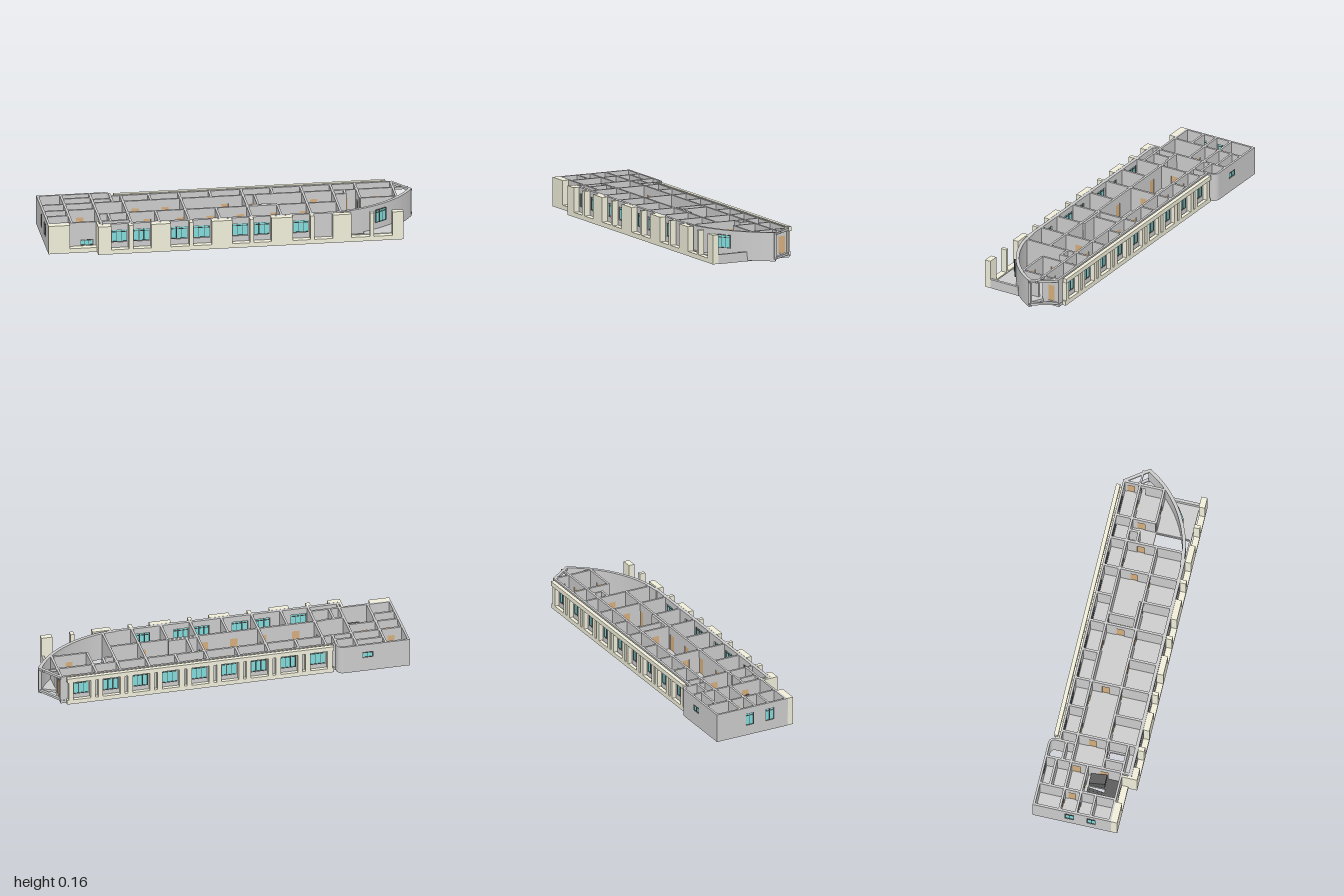
import * as THREE from 'three';

const mat = (color) => new THREE.MeshStandardMaterial({ color });
const GREY = mat(0xcccccc), BEIGE = mat(0xf0eeda), GLASS = mat(0x80dcdc), WOOD = mat(0xd6ae7d), DARK = mat(0x5a5a5a);
const TOP = 0.163, FLOOR = 0.03;

export function createModel() {
  const root = new THREE.Group();

  const add = (name, geo, material, parent = root) => {
    const m = new THREE.Mesh(geo, material);
    m.name = name;
    parent.add(m);
    return m;
  };
  // box given by its limits
  const box = (name, x0, x1, y0, y1, z0, z1, material = GREY, parent = root) => {
    const m = add(name, new THREE.BoxGeometry(x1 - x0, y1 - y0, z1 - z0), material, parent);
    m.position.set((x0 + x1) / 2, (y0 + y1) / 2, (z0 + z1) / 2);
    return m;
  };
  const rectPath = (x0, x1, y0, y1) => new THREE.Path([[x0, y0], [x1, y0], [x1, y1], [x0, y1]].map((p) => new THREE.Vector2(...p)));
  // plan outline (x, z) raised between two heights
  const plan = (name, pts, y0, y1, material, holes = []) => {
    const s = new THREE.Shape(pts.map((p) => new THREE.Vector2(p[0], p[1])));
    holes.forEach((h) => s.holes.push(rectPath(...h)));
    const g = new THREE.ExtrudeGeometry(s, { depth: y1 - y0, bevelEnabled: false });
    g.rotateX(Math.PI / 2).translate(0, y1, 0);
    return add(name, g, material);
  };
  // framed window of several panes, centred on z = 0 of its parent
  const windowUnit = (parent, u0, u1, y0, y1, panes) => {
    box('glass', u0, u1, y0, y1, -0.002, 0.002, GLASS, parent);
    const f = 0.003;
    for (let i = 0; i <= panes; i++) {
      const u = u0 + f / 2 + ((u1 - u0 - f) * i) / panes;
      box('windowBar', u - f / 2, u + f / 2, y0, y1, -0.005, 0.005, DARK, parent);
    }
    for (const y of [y0, y0 + (y1 - y0) * 0.78, y1 - f]) box('windowRail', u0, u1, y, y + f, -0.005, 0.005, DARK, parent);
  };
  // straight wall with openings [start, end, bottom, top, kind]
  const wall = (name, x0, z0, x1, z1, holes = [], y0 = 0.012, t = 0.012) => {
    const g = new THREE.Group(), len = Math.hypot(x1 - x0, z1 - z0);
    g.name = name;
    g.position.set(x0, 0, z0);
    g.rotation.y = Math.atan2(z0 - z1, x1 - x0);
    const s = new THREE.Shape(rectPath(0, len, y0, TOP).getPoints());
    holes.forEach((h) => s.holes.push(rectPath(h[0], h[1], h[2], h[3])));
    const geo = new THREE.ExtrudeGeometry(s, { depth: t, bevelEnabled: false }).translate(0, 0, -t / 2);
    add('wallPanel', geo, GREY, g);
    for (const [a, b, c, d, kind] of holes) {
      if (kind === 'window') windowUnit(g, a, b, c, d, b - a > 0.06 ? 3 : 2);
      if (kind === 'door') box('doorLeaf', a, b, c, d, -0.003, 0.003, WOOD, g);
    }
    root.add(g);
    return g;
  };
  const door = (u) => [u, u + 0.04, FLOOR, 0.12, 'door'];

  // floor slab with stair and shaft openings
  plan('floorSlab', [[-1, -0.25], [-0.71, -0.25], [-0.71, -0.165], [-0.61, -0.165], [-0.61, -0.2], [0.9, -0.2], [0.9, -0.11],
    [0.98, -0.07], [0.9, 0.04], [0.9, 0.215], [-0.73, 0.215], [-0.73, 0.17], [-1, 0.17]], 0.016, FLOOR, GREY,
  [[0.575, 0.695, 0.025, 0.205], [0.575, 0.625, -0.1, -0.06], [-0.655, -0.57, 0.07, 0.16], [-0.8, -0.78, 0, 0.09]]);

  // beam grid under the slab
  const bays = [-0.555, -0.405, -0.245, -0.08, 0.09, 0.25, 0.41, 0.57];
  for (const x of bays) box('crossBeam', x - 0.007, x + 0.007, 0, 0.02, -0.2, 0.215);
  for (const x of [0.7, 0.893]) box('crossBeam', x - 0.007, x + 0.007, 0.004, 0.02, -0.2, 0.215);
  for (const x of [-0.993, -0.87, -0.72]) box('wingBeam', x - 0.007, x + 0.007, 0.004, 0.02, -0.25, 0.17);
  for (const z of [-0.2, -0.11, 0.055, 0.21]) box('longBeam', z === 0.21 ? -0.73 : -0.61, z < 0 ? 0.9 : 0.57, 0.004, 0.02, z - 0.007, z + 0.007);
  for (const z of [-0.245, -0.11, -0.02, 0.16]) box('wingLongBeam', -1, -0.72, 0.004, 0.02, z - 0.007, z + 0.007);

  // front facade: piers on a sill band, bays open at the top
  const openings = [[-0.67, -0.575], [-0.55, -0.455], [-0.35, -0.25], [-0.23, -0.13], [-0.02, 0.075], [0.095, 0.19],
    [0.305, 0.4], [0.42, 0.52], [0.62, 0.72], [0.74, 0.84]];
  box('frontSill', -0.74, 0.9, 0.005, FLOOR, 0.222, 0.255, BEIGE);
  let start = -0.74;
  for (const [a, b] of [...openings, [0.9, 0.9]]) {
    box('frontPier', start, a, FLOOR, TOP, 0.222, 0.255, BEIGE);
    start = b;
  }
  wall('frontWall', -0.735, 0.212, 0.54, 0.212,
    openings.slice(0, 7).map(([a, b]) => [a + 0.74, b + 0.73, 0.06, 0.13, 'window']), 0.005, 0.018);

  // back facade: piers between a sill and a top beam
  box('backSill', -0.59, 0.87, 0.005, FLOOR, -0.23, -0.21, BEIGE);
  box('backTopBeam', -0.59, 0.87, 0.138, TOP, -0.235, -0.213, BEIGE);
  const backHoles = [];
  for (let i = 0; i < 9; i++) {
    const c = -0.508 + i * 0.162;
    backHoles.push([c + 0.61 - 0.042, c + 0.61 + 0.042, 0.05, 0.13, 'window']);
    for (const s of [-1, 1]) box('backPier', c + s * 0.06 - 0.013, c + s * 0.06 + 0.013, FLOOR, 0.138, -0.23, -0.206, BEIGE);
  }
  wall('backWall', -0.61, -0.198, 0.9, -0.198, backHoles, 0.005);

  // rooms of the long block
  wall('backRoomWall', -0.61, -0.11, 0.9, -0.11, [0.1, 0.26, 0.58, 0.74, 1.06, 1.22, 1.4].map(door));
  wall('frontRoomWall', -0.61, 0.055, 0.57, 0.055, [0.14, 0.32, 0.48, 0.64, 0.82, 0.98].map(door));
  bays.forEach((x, i) => {
    wall('backPartition', x, -0.198, x, -0.11);
    wall('frontPartition', x, 0.055, x, 0.21);
    if (i % 2 === 0 || i === 7) wall('hallPartition', x, -0.11, x, 0.055, [door(0.06)]);
  });
  wall('hallScreen', 0.15, -0.105, 0.15, 0.04);
  wall('hallScreenReturn', 0.09, 0.04, 0.25, 0.04);
  wall('eastPartition', 0.7, -0.198, 0.7, 0.02, [door(0.12)]);
  wall('eastHallWall', 0.7, 0.02, 0.9, 0.02, [door(0.08)]);
  wall('eastEndWall', 0.894, -0.198, 0.894, 0.02, [[0.018, 0.058, FLOOR, 0.122, 'door'], [0.095, 0.118, FLOOR, 0.12, 'open']]);
  wall('shaftWall', 0.632, -0.11, 0.632, -0.055);
  wall('shaftFront', 0.57, -0.055, 0.638, -0.055);

  // curved wall sweeping round the end
  const sweep = new THREE.CatmullRomCurve3([[0.99, -0.075], [0.955, -0.02], [0.9, 0.045], [0.82, 0.112], [0.72, 0.168], [0.61, 0.205], [0.5, 0.217]]
    .map(([x, z]) => new THREE.Vector3(x, 0, z)));
  const outer = [], inner = [];
  for (let i = 0; i <= 32; i++) {
    const p = sweep.getPoint(i / 32), t = sweep.getTangent(i / 32);
    outer.push([p.x, p.z]);
    inner.unshift([p.x + t.z * -0.018, p.z + t.x * 0.018]);
  }
  plan('curvedWall', [...outer, ...inner], 0.008, TOP, GREY);
  const curveWindow = new THREE.Group();
  curveWindow.name = 'curvedWallWindow';
  curveWindow.position.set(0.794, 0, 0.131);
  curveWindow.rotation.y = 0.6;
  windowUnit(curveWindow, -0.037, 0.037, 0.067, 0.138, 3);
  root.add(curveWindow);

  // terrace parapet and open entrance frame
  box('terraceParapet', 0.885, 0.9, 0.005, 0.055, 0.05, 0.222);
  const diagonal = (name, y0, y1) => plan(name, [[0.9, -0.205], [0.992, -0.078], [0.98, -0.068], [0.888, -0.195]], y0, y1, GREY);
  diagonal('entranceTopBeam', 0.15, TOP);
  diagonal('entranceThreshold', 0.018, FLOOR);
  box('entrancePost', 0.975, 0.99, 0.018, TOP, -0.083, -0.068);
  box('entranceCornerPost', 0.89, 0.902, 0.018, TOP, -0.204, -0.19);
  box('entranceLintel', 0.9, 0.975, 0.15, TOP, -0.115, -0.105);

  // end wing shell with a rounded corner
  wall('wingBackWall', -1, -0.249, -0.64, -0.249, [[0.2, 0.26, 0.085, 0.12, 'window']], 0.005);
  wall('wingEndWall', -0.994, -0.25, -0.994, 0.175, [[0.17, 0.22, 0.06, 0.13, 'window'], [0.29, 0.34, 0.06, 0.13, 'window']], 0.005);
  const arc = (r, k) => [-0.64 + r * Math.sin(k), -0.22 - r * Math.cos(k)];
  const steps = Array.from({ length: 9 }, (_, i) => (i / 8) * Math.PI / 2);
  plan('wingRoundedCorner', [...steps.map((k) => arc(0.035, k)), ...steps.reverse().map((k) => arc(0.023, k))], 0.005, TOP, GREY);
  wall('wingReturnWall', -0.611, -0.22, -0.611, -0.11, [], 0.005);
  wall('wingShaftWall', -0.72, -0.16, -0.611, -0.16);
  wall('wingFrontWall', -1, 0.166, -0.7, 0.166, [[0.175, 0.245, 0.032, 0.066, 'window']], 0.005);
  box('wingFrontSill', -1, -0.735, 0.005, FLOOR, 0.172, 0.207, BEIGE);
  box('wingFrontPier', -1, -0.885, FLOOR, TOP, 0.172, 0.207, BEIGE);
  box('wingCornerPier', -0.74, -0.728, 0.005, TOP, 0.172, 0.222, BEIGE);

  // wing rooms
  wall('wingPartition', -0.87, -0.249, -0.87, 0.166, [door(0.16)]);
  wall('wingInnerWall', -0.715, -0.249, -0.715, 0.21, [door(0.15), door(0.3)]);
  wall('wingCrossWall', -1, -0.11, -0.61, -0.11, [door(0.05)]);
  wall('wingStairWall', -1, -0.02, -0.72, -0.02, [door(0.05), door(0.18)]);
  wall('wingSmallWall', -0.87, -0.19, -0.72, -0.19);
  wall('wingSideWall', -0.994, 0.06, -0.87, 0.06);
  wall('shaftSideWall', -0.66, 0.06, -0.66, 0.166);
  wall('shaftFrontWall', -0.72, 0.166, -0.555, 0.166);
  wall('shaftBackWall', -0.715, 0.06, -0.61, 0.06);

  // two stair flights beside the slot
  for (let i = 0; i < 8; i++) {
    const z = i * 0.011;
    box('stairTreadLower', -0.862, -0.802, FLOOR, 0.035 + (7 - i) * 0.004, z, z + 0.011, DARK);
    box('stairTreadUpper', -0.778, -0.722, FLOOR, 0.065 + i * 0.004, z, z + 0.011, DARK);
  }
  box('stairLanding', -0.862, -0.722, FLOOR, 0.034, 0.09, 0.16, DARK);

  return root;
}
